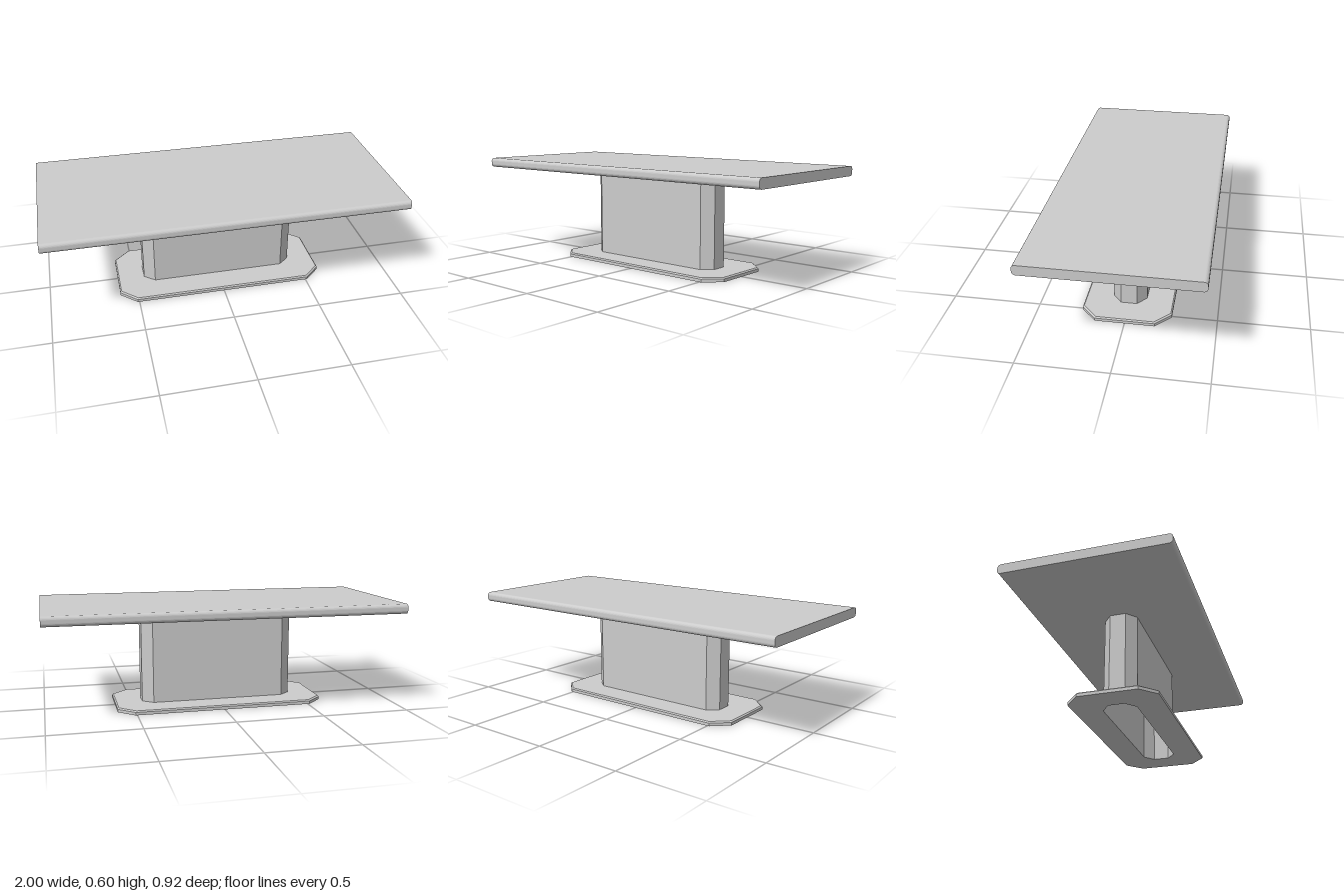
import * as THREE from 'three';

// Elongated octagon in the x/z plane: half sizes and corner cuts
function octagon(x, z, cutX, cutZ) {
  const a = x - cutX, b = z - cutZ;
  return [[a, -z], [x, -b], [x, b], [a, z], [-a, z], [-x, b], [-x, -b], [-a, -z]]
    .map(([px, pz]) => new THREE.Vector2(px, pz));
}

// Flat-faced band joining outlines at successive heights
function loft(rings) {
  const pos = [];
  for (let r = 0; r < rings.length - 1; r++) {
    const { pts: lo, y: y0 } = rings[r], { pts: hi, y: y1 } = rings[r + 1];
    lo.forEach((p, i) => {
      const j = (i + 1) % lo.length, q = lo[j], s = hi[j], t = hi[i];
      pos.push(p.x, y0, p.y, s.x, y1, s.y, q.x, y0, q.y);
      pos.push(p.x, y0, p.y, t.x, y1, t.y, s.x, y1, s.y);
    });
  }
  const geo = new THREE.BufferGeometry();
  geo.setAttribute('position', new THREE.Float32BufferAttribute(pos, 3));
  geo.computeVertexNormals();
  return geo;
}

// Flat ring between an outline and the column opening
function plate(outline, hole, y, up) {
  const shape = new THREE.Shape(outline);
  shape.holes.push(new THREE.Path(hole));
  const geo = new THREE.ShapeGeometry(shape);
  geo.rotateX(up ? -Math.PI / 2 : Math.PI / 2);
  return geo.translate(0, y, 0);
}

export function createModel() {
  const model = new THREE.Group();
  const grey = new THREE.MeshStandardMaterial({ color: 0xcccccc });
  const greyOpen = new THREE.MeshStandardMaterial({ color: 0xcccccc, side: THREE.DoubleSide });
  const add = (parent, name, geo, mat) => {
    const mesh = new THREE.Mesh(geo, mat);
    mesh.name = name;
    parent.add(mesh);
  };

  // Tabletop: rounded long edges, straight-cut ends
  const w = 0.46, y0 = 0.545, y1 = 0.6, r = 0.02;
  const profile = new THREE.Shape();
  profile.moveTo(-w + r, y0);
  profile.lineTo(w - r, y0);
  profile.absarc(w - r, y0 + r, r, -Math.PI / 2, 0);
  profile.absarc(w - r, y1 - r, r, 0, Math.PI / 2);
  profile.absarc(-w + r, y1 - r, r, Math.PI / 2, Math.PI);
  profile.absarc(-w + r, y0 + r, r, Math.PI, Math.PI * 1.5);
  const top = new THREE.ExtrudeGeometry(profile, { depth: 2, bevelEnabled: false, curveSegments: 5 });
  top.translate(0, 0, -1).rotateY(Math.PI / 2);
  add(model, 'tabletop', top, grey);

  // Hollow pedestal column, open at the floor
  const column = octagon(0.445, 0.095, 0.06, 0.05);
  add(model, 'column', loft([{ pts: column, y: 0 }, { pts: column, y: y0 }]), greyOpen);

  // Base plate with clipped corners and a bevelled upper rim
  const base = new THREE.Group();
  base.name = 'base';
  const outer = octagon(0.6, 0.25, 0.09, 0.085);
  const inner = octagon(0.593, 0.243, 0.088, 0.083);
  add(base, 'baseRim', loft([{ pts: outer, y: 0 }, { pts: outer, y: 0.017 }, { pts: inner, y: 0.024 }]), grey);
  add(base, 'baseUpperFace', plate(inner, column, 0.024, true), grey);
  add(base, 'baseLowerFace', plate(outer, column, 0, false), grey);
  model.add(base);

  return model;
}
